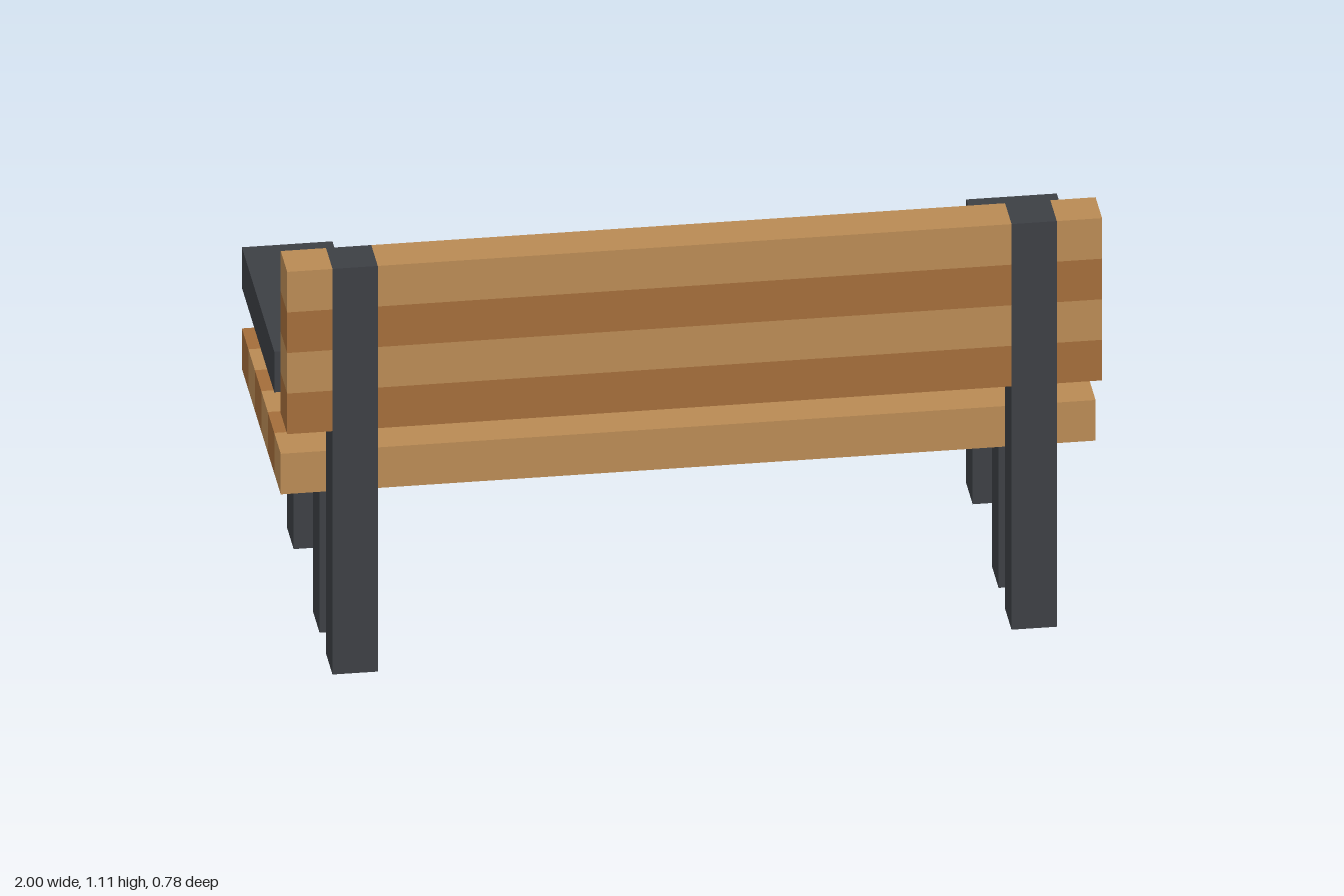
import * as THREE from 'three';

// Everything sits on a grid of 1/9 unit
const U = 1 / 9;
const paint = (color) => new THREE.MeshStandardMaterial({ color, flatShading: true });

export function createModel() {
  const bench = new THREE.Group();
  bench.name = 'bench';
  const lightWood = paint(0xb98a54);
  const darkWood = paint(0xa36d3a);
  const iron = paint(0x3c3f44);

  // Box from its extents in grid cells
  const block = (parent, name, material, [x0, x1], [y0, y1], [z0, z1]) => {
    const mesh = new THREE.Mesh(
      new THREE.BoxGeometry((x1 - x0) * U, (y1 - y0) * U, (z1 - z0) * U), material);
    mesh.position.set((x0 + x1) / 2 * U, (y0 + y1) / 2 * U, (z0 + z1) / 2 * U);
    mesh.name = name;
    parent.add(mesh);
  };

  // Seat: six alternating slats
  const seat = new THREE.Group();
  seat.name = 'seat';
  for (let i = 0; i < 6; i++) {
    const z = -3.5 + i;
    block(seat, 'seatSlat', i % 2 ? lightWood : darkWood, [-9, 9], [4, 5], [z, z + 1]);
  }

  // Backrest: four alternating slats, interrupted by the flush posts
  const backrest = new THREE.Group();
  backrest.name = 'backrest';
  for (let i = 0; i < 4; i++) {
    for (const span of [[-9, -8], [-7, 7], [8, 9]]) {
      block(backrest, 'backSlat', i % 2 ? lightWood : darkWood, span, [6 + i, 7 + i], [2.5, 3.5]);
    }
  }
  bench.add(seat, backrest);

  // Iron frame on each side
  for (const side of [1, -1]) {
    const frame = new THREE.Group();
    frame.name = side > 0 ? 'leftFrame' : 'rightFrame';
    const span = (a, b) => (side > 0 ? [a, b] : [-b, -a]);
    const bar = span(7, 8);
    block(frame, 'backPost', iron, bar, [0, 10], [2.5, 3.5]);
    block(frame, 'innerLeg', iron, bar, [0, 4], [0.5, 1.5]);
    block(frame, 'outerLeg', iron, bar, [0, 4], [-3.5, -2.5]);
    block(frame, 'seatRail', iron, bar, [3, 4], [-2.5, 0.5]);
    block(frame, 'armSupport', iron, bar, [5, 6], [-3.5, -2.5]);
    block(frame, 'armrest', iron, span(7, 9), [6, 7], [-3.5, 1.5]);
    bench.add(frame);
  }
  return bench;
}
